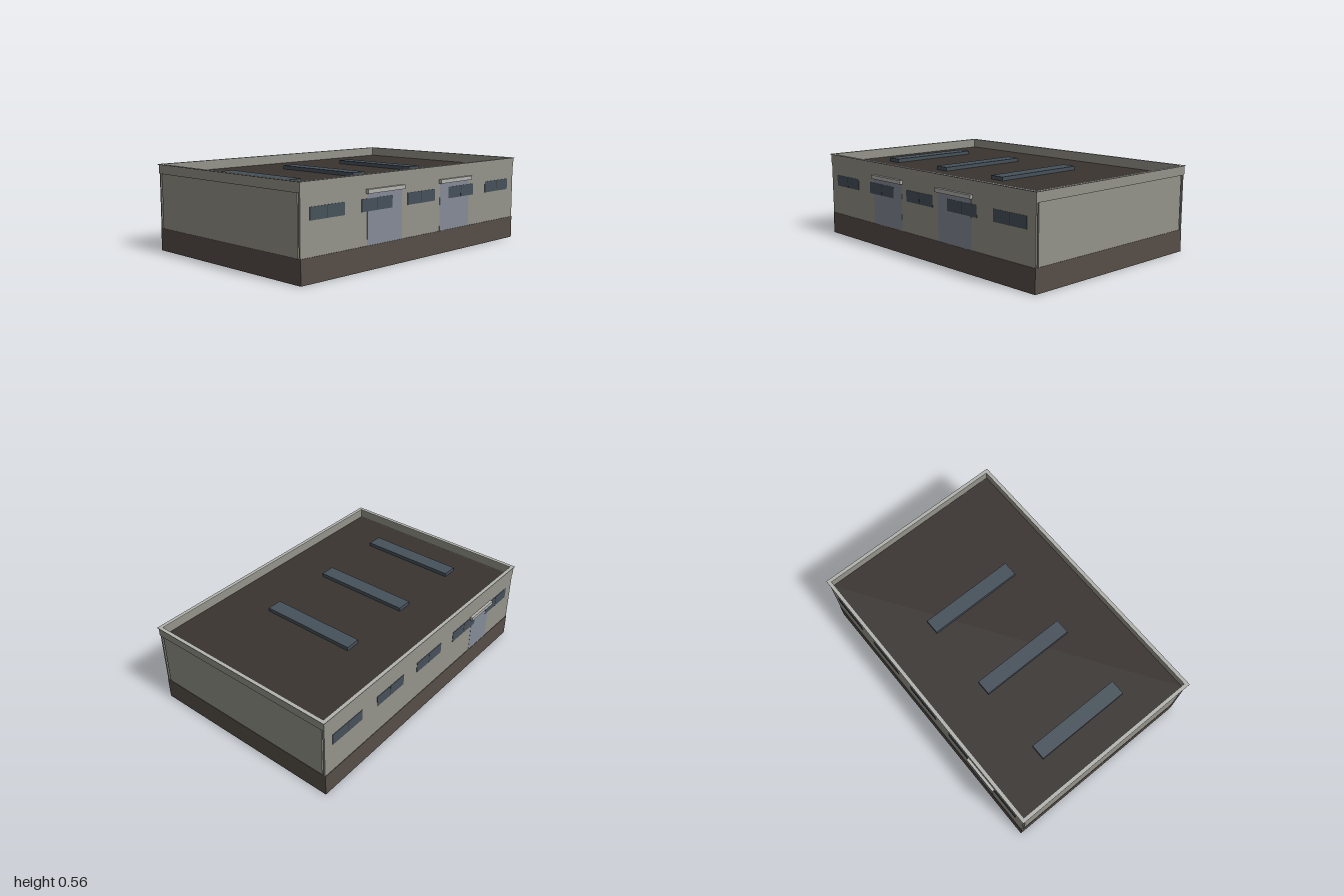
import * as THREE from 'three';

const mat = (color) => new THREE.MeshStandardMaterial({ color });

export function createModel() {
  const model = new THREE.Group();
  const wall = mat(0x94938a), plinth = mat(0x564e47), roofing = mat(0x3a3431);
  const trim = mat(0xb2b3ae), glass = mat(0x46515a), door = mat(0x858b96);

  // Box given by its limits on each axis
  function box(name, material, [x0, x1], [y0, y1], [z0, z1]) {
    const mesh = new THREE.Mesh(new THREE.BoxGeometry(x1 - x0, y1 - y0, z1 - z0), material);
    mesh.position.set((x0 + x1) / 2, (y0 + y1) / 2, (z0 + z1) / 2);
    mesh.name = name;
    model.add(mesh);
  }

  // Rectangular ring lying flat, used for the parapet and its coping
  function ring(name, material, hx, hz, thickness, y0, y1) {
    const rect = (Type, x, z) => new Type([[-x, -z], [x, -z], [x, z], [-x, z]].map(p => new THREE.Vector2(...p)));
    const shape = rect(THREE.Shape, hx, hz);
    shape.holes.push(rect(THREE.Path, hx - thickness, hz - thickness));
    const geometry = new THREE.ExtrudeGeometry(shape, { depth: y1 - y0, bevelEnabled: false });
    geometry.rotateX(-Math.PI / 2).translate(0, y0, 0);
    const mesh = new THREE.Mesh(geometry, material);
    mesh.name = name;
    model.add(mesh);
  }

  // Plinth, roof deck, parapet and coping
  box('plinth', plinth, [-0.99, 0.99], [0, 0.145], [-0.665, 0.665]);
  box('roof', roofing, [-0.98, 0.98], [0.475, 0.495], [-0.65, 0.65]);
  ring('parapet', wall, 0.994, 0.664, 0.018, 0.495, 0.552);
  ring('coping', trim, 1, 0.67, 0.024, 0.552, 0.556);

  // Side walls stand clear of the long walls by a narrow slot
  for (const s of [-1, 1]) {
    const x = [s * 0.988, s * 0.972].sort((a, b) => a - b);
    box('sideWall', wall, x, [0.145, 0.495], [-0.64, 0.64]);
  }

  // Long walls with five windows each
  for (const s of [-1, 1]) {
    const span = (a, b) => [s * a, s * b].sort((p, q) => p - q);
    box('longWall', wall, [-0.99, 0.99], [0.145, 0.495], span(0.651, 0.662));
    for (let i = -2; i <= 2; i++) {
      const x = i * 0.396;
      box('windowPane', glass, [x - 0.13, x + 0.13], [0.343, 0.416], span(0.655, 0.6645));
      box('windowMullion', roofing, [x - 0.002, x + 0.002], [0.343, 0.416], span(0.655, 0.665));
    }
  }

  // Doors with canopies: two wide in front, one narrow behind
  for (const s of [-1, 1]) {
    const x = s * 0.33;
    box('frontDoor', door, [x - 0.15, x + 0.15], [0.145, 0.445], [0.655, 0.663]);
    box('frontCanopy', trim, [x - 0.16, x + 0.16], [0.445, 0.47], [0.66, 0.68]);
  }
  box('backDoor', door, [-0.7, -0.49], [0.145, 0.4], [-0.663, -0.655]);
  box('backCanopy', trim, [-0.722, -0.468], [0.4, 0.424], [-0.68, -0.66]);

  // Long roof lights
  for (const x of [-0.725, -0.198, 0.329]) {
    box('skylight', glass, [x - 0.05, x + 0.05], [0.49, 0.519], [-0.325, 0.325]);
  }
  return model;
}
